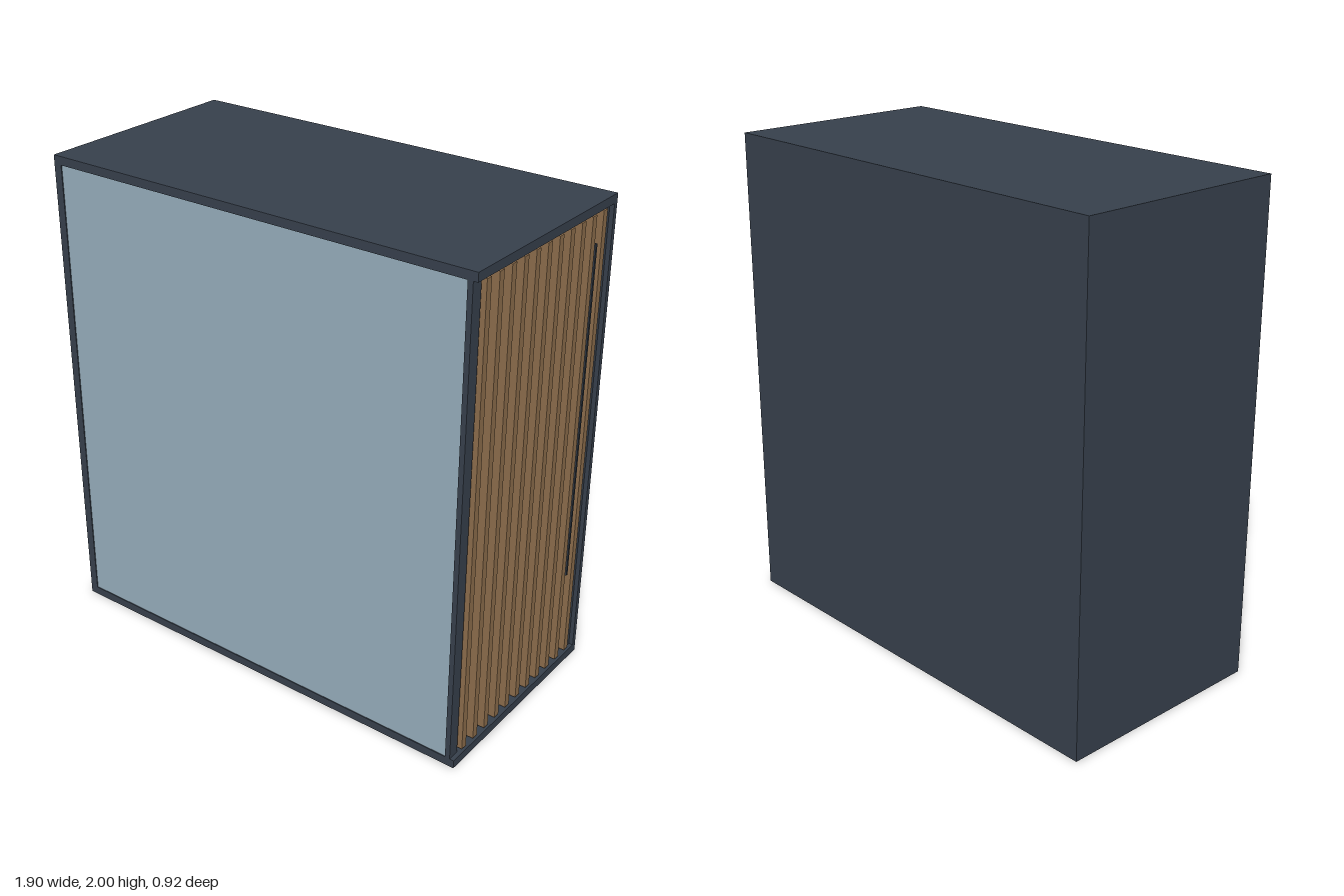
import * as THREE from 'three';

const dark = new THREE.MeshStandardMaterial({ color: 0x363f4b });
const darker = new THREE.MeshStandardMaterial({ color: 0x2c343f });
const glass = new THREE.MeshStandardMaterial({ color: 0x94aab8 });
const wood = new THREE.MeshStandardMaterial({ color: 0x8a6b4a });

// Box given by its minimum and maximum along each axis
function box(name, material, [x0, x1], [y0, y1], [z0, z1]) {
  const mesh = new THREE.Mesh(new THREE.BoxGeometry(x1 - x0, y1 - y0, z1 - z0), material);
  mesh.position.set((x0 + x1) / 2, (y0 + y1) / 2, (z0 + z1) / 2);
  mesh.name = name;
  return mesh;
}

export function createModel() {
  const model = new THREE.Group();
  model.name = 'cabinet';
  const X = 0.95, Z = 0.46, H = 2, T = 0.035;
  const inner = [T, H - T];

  // Outer shell: floor, roof, back, closed side and the slim front post
  const shell = new THREE.Group();
  shell.name = 'shell';
  shell.add(
    box('bottomPanel', dark, [-X, X], [0, T], [-Z, Z]),
    box('topPanel', dark, [-X, X], [H - T, H], [-Z, Z]),
    box('backPanel', dark, [-X, X], inner, [-Z, -Z + 0.02]),
    box('rightSidePanel', dark, [-X, -X + T], inner, [-Z + 0.02, Z]),
    box('frontPost', dark, [0.911, 0.932], inner, [0.41, Z])
  );
  model.add(shell);

  // Glazed front, set back slightly in the frame
  model.add(box('frontGlass', glass, [-X + T, 0.911], inner, [Z - 0.02, Z - 0.004]));

  // Slatted door on the left side
  const door = new THREE.Group();
  door.name = 'slattedDoor';
  door.add(
    box('doorLeaf', dark, [0.885, 0.912], inner, [-Z + 0.02, 0.41]),
    box('doorRearStile', dark, [0.912, 0.932], inner, [-Z + 0.02, -0.41])
  );
  const count = 11, pitch = 0.077;
  for (let i = 0; i < count; i++) {
    const z = (i - (count - 1) / 2) * pitch;
    door.add(box('slat', wood, [0.912, 0.946], [0.048, 1.957], [z - 0.014, z + 0.014]));
  }
  door.add(box('doorHandle', darker, [0.912, 0.942], [0.43, 1.84], [-0.351, -0.341]));
  model.add(door);

  return model;
}
